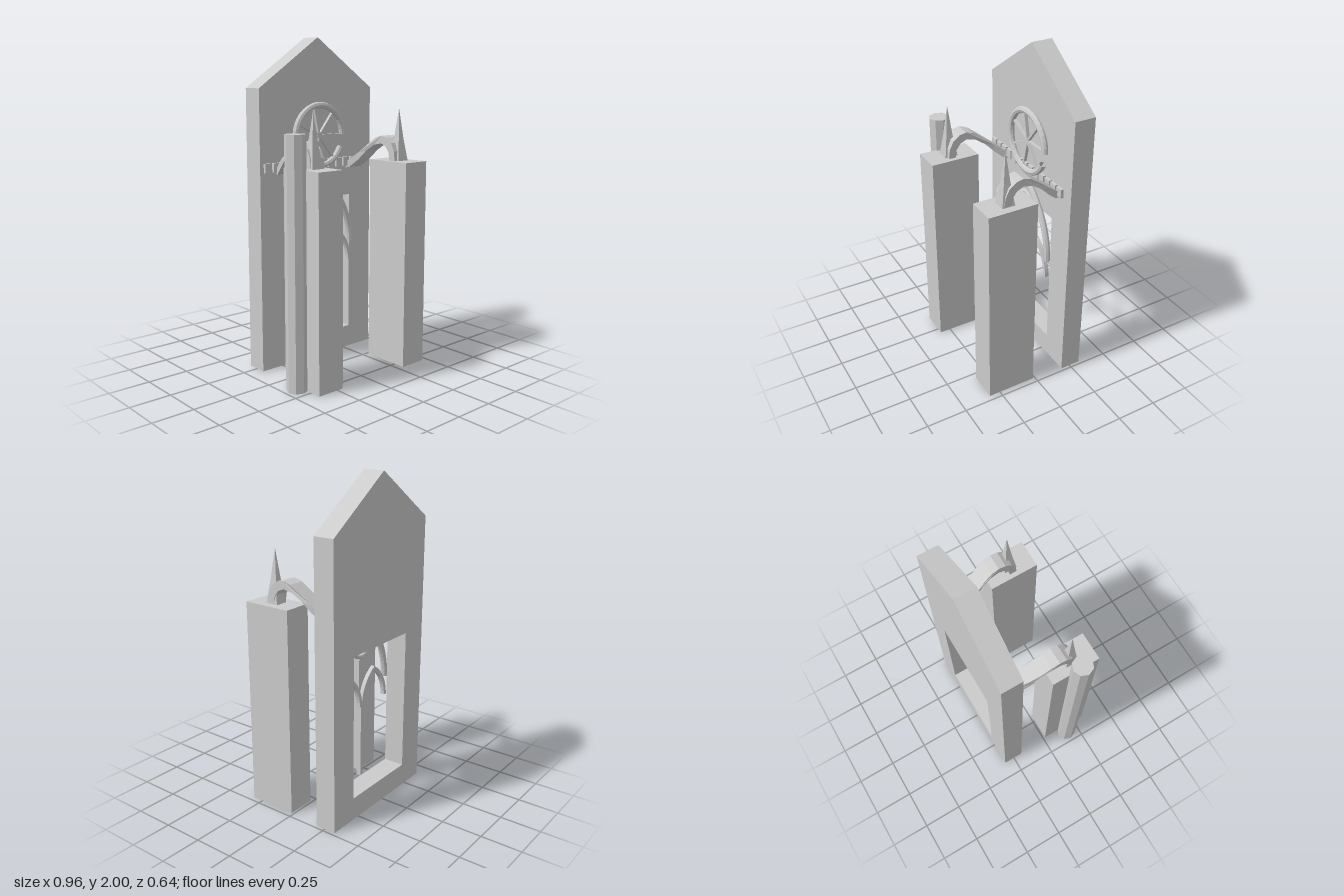
import * as THREE from 'three';

const CX = 0.04; // symmetry axis of the facade
const FACE = -0.19; // front face of the wall
const mat = new THREE.MeshStandardMaterial({ color: 0xcccccc, flatShading: true, side: THREE.DoubleSide });

export function createModel() {
  const group = new THREE.Group();

  const add = (name, geo, x = 0, y = 0, z = 0) => {
    const mesh = new THREE.Mesh(geo, mat);
    mesh.name = name;
    mesh.position.set(x, y, z);
    group.add(mesh);
    return mesh;
  };
  const polygon = (pts) => new THREE.Shape(pts.map(([x, y]) => new THREE.Vector2(x, y)));
  const extrude = (shape, depth) => new THREE.ExtrudeGeometry(shape, { depth, bevelEnabled: false });

  // Half of a pointed arch, from the springing (a, 0) up to the apex (0, h)
  const halfArch = (a, h, n = 10) => {
    const r = (a * a + h * h) / (2 * a);
    const end = Math.asin(h / r);
    return Array.from({ length: n + 1 }, (_, i) => {
      const t = (end * i) / n;
      return [a - r + r * Math.cos(t), r * Math.sin(t)];
    });
  };
  const fullArch = (a, h) => {
    const half = halfArch(a, h);
    return [...half, ...half.slice(0, -1).reverse().map(([x, y]) => [-x, y])];
  };

  // Gabled wall with a rectangular opening
  const wall = polygon([[-0.44, 0], [0.44, 0], [0.44, 1.7], [0, 2], [-0.44, 1.7]]);
  wall.holes.push(polygon([[-0.26, 0.14], [-0.26, 1.02], [0.26, 1.02], [0.26, 0.14]]));
  add('gableWall', extrude(wall, 0.13), CX, 0, -0.32);

  // Octagonal stair turret
  add('turret', new THREE.CylinderGeometry(0.061, 0.061, 1.46, 8), -0.422, 0.73, 0.168);

  // Flying buttress profile as (z, y), outer edge then underside
  const buttressProfile = [
    [0.197, 1.26], [0.19, 1.32], [0.165, 1.37], [0.125, 1.4], [0.08, 1.41], [0.03, 1.395],
    [-0.03, 1.35], [-0.1, 1.295], [-0.18, 1.235], [-0.185, 1.195], [-0.16, 1.2], [-0.1, 1.25],
    [-0.04, 1.31], [0.02, 1.35], [0.08, 1.363], [0.12, 1.345], [0.145, 1.31], [0.152, 1.26],
  ];

  for (const side of [-1, 1]) {
    const label = side > 0 ? 'left' : 'right';
    add(label + 'Pier', new THREE.BoxGeometry(0.176, 1.262, 0.305), CX + side * 0.338, 0.631, 0.167);

    // Pinnacle: tapered base with a slender spire
    const px = CX + side * 0.339;
    const base = new THREE.CylinderGeometry(0.02 * Math.SQRT2, 0.04 * Math.SQRT2, 0.14, 4).rotateY(Math.PI / 4);
    add(label + 'PinnacleBase', base, px, 1.33, 0.17);
    const spire = new THREE.ConeGeometry(0.02 * Math.SQRT2, 0.18, 4).rotateY(Math.PI / 4);
    add(label + 'PinnacleSpire', spire, px, 1.49, 0.17);

    // Buttress bends inward as it nears the wall
    const buttress = extrude(polygon(buttressProfile), 0.1).rotateY(-Math.PI / 2).translate(0.05, 0, 0);
    const p = buttress.attributes.position;
    for (let i = 0; i < p.count; i++) {
      // After the turn the profile's first axis lies along +z
      const bend = Math.max(0, 0.08 - p.getZ(i)) / 0.26;
      p.setX(i, p.getX(i) + side * (0.328 - 0.05 * bend * bend));
    }
    buttress.computeVertexNormals();
    add(label + 'FlyingButtress', buttress, CX);

    // Half of the great arch moulding
    const pts = halfArch(0.25, 0.442).map(([x, y]) => new THREE.Vector3(side * x, y, 0));
    const moulding = new THREE.TubeGeometry(new THREE.CatmullRomCurve3(pts), 20, 0.02, 8);
    add(label + 'ArchMoulding', moulding, CX, 0.72, -0.175);

    // Lancet arch of the tracery
    const lancet = polygon([...fullArch(0.127, 0.22), ...fullArch(0.105, 0.194).reverse()]);
    add(label + 'Lancet', extrude(lancet, 0.025), CX + side * 0.126, 0.6, FACE);
  }

  add('mullion', new THREE.BoxGeometry(0.022, 0.48, 0.03), CX, 0.38, -0.175);

  // Open tracery rings
  const arc = Math.PI * 2 - 0.42;
  add('oculusRing', new THREE.TorusGeometry(0.08, 0.013, 8, 28, arc), CX, 0.995, -0.175);
  add('roseRing', new THREE.TorusGeometry(0.186, 0.02, 8, 32, arc), CX, 1.41, -0.175);

  // Rose window spokes
  for (let i = 0; i < 7; i++) {
    const spoke = new THREE.BoxGeometry(0.18, 0.013, 0.02).translate(0.09, 0, 0);
    add('roseSpoke', spoke, CX, 1.41, -0.18).rotation.z = (i * Math.PI * 2) / 7;
  }

  // Row of corbel blocks
  for (let i = 0; i < 13; i++) {
    add('corbel', new THREE.BoxGeometry(0.048, 0.055, 0.02), -0.35 + i * 0.061, 1.237, FACE + 0.008);
  }

  return group;
}
